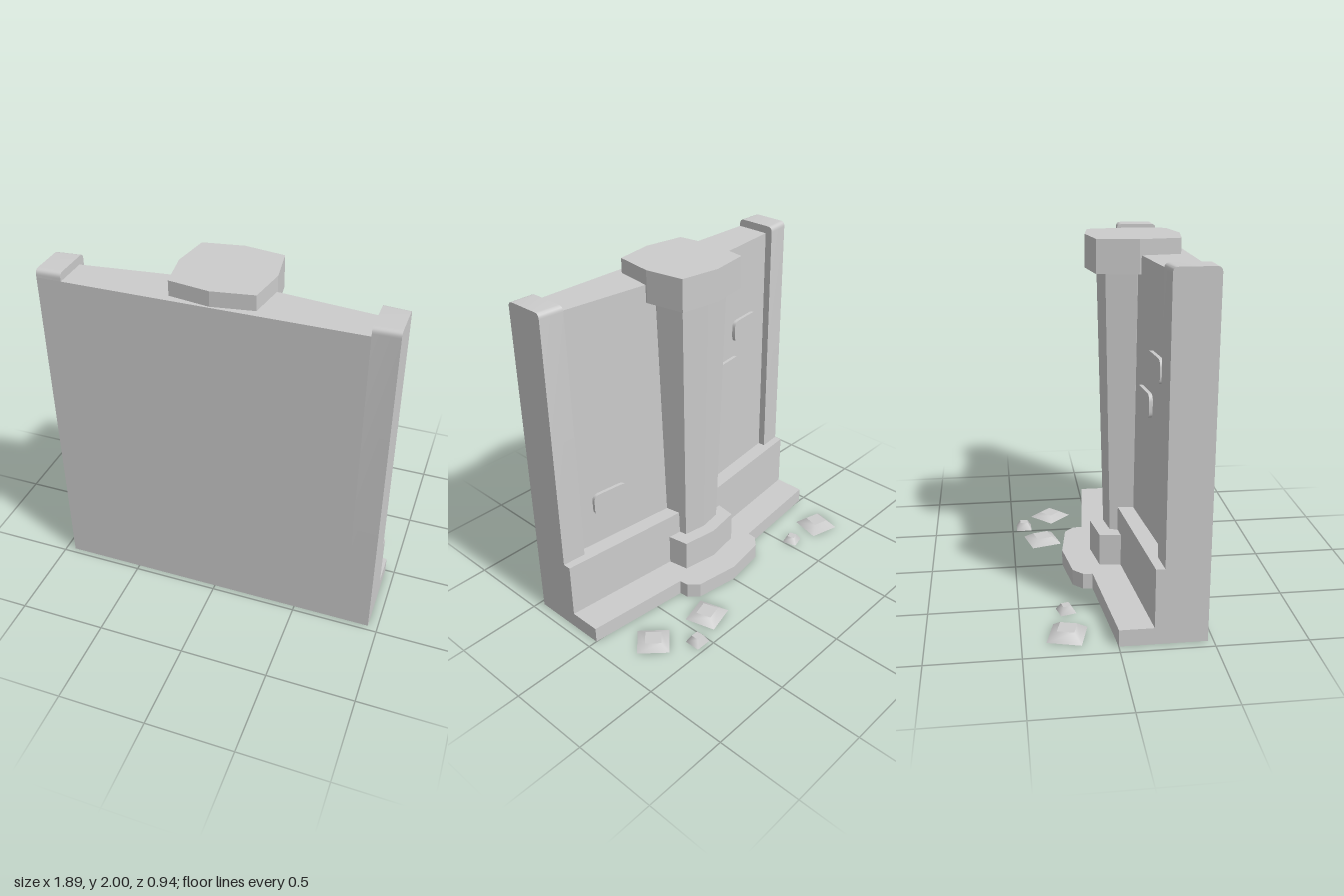
import * as THREE from 'three';
import { toCreasedNormals } from 'three/addons/utils/BufferGeometryUtils.js';

const FRONT = 0.47;
const material = new THREE.MeshStandardMaterial({ color: 0xcccccc });

// Upright prism from an [x, z] outline between two heights
function prism(outline, y0, y1) {
  const shape = new THREE.Shape(outline.map(([x, z]) => new THREE.Vector2(x, -z)));
  const geo = new THREE.ExtrudeGeometry(shape, { depth: y1 - y0, bevelEnabled: false });
  return geo.rotateX(-Math.PI / 2).translate(0, y0, 0);
}

// Completes a right-half outline (ordered by falling z) with its mirror image
const mirrored = (half) => [
  ...half,
  ...half.filter(([x]) => x > 0).reverse().map(([x, z]) => [-x, z]),
];

// Eight-sided column section around z = 0.195
const COLUMN_Z = 0.195;
const section = (s) => mirrored([
  [0, 0.265], [0.23, 0.228], [0.265, 0], [0.23, -0.228], [0, -0.265],
].map(([x, z]) => [x * s, z * s + COLUMN_Z])).filter((p, i) => i < 8);

// Shaft narrowing towards its foot
function shaftGeometry(y0, y1, bottom, top) {
  const geo = prism(section(1), y0, y1);
  const p = geo.attributes.position;
  for (let i = 0; i < p.count; i++) {
    const s = THREE.MathUtils.mapLinear(p.getY(i), y0, y1, bottom, top);
    p.setX(i, p.getX(i) * s);
    p.setZ(i, (p.getZ(i) - COLUMN_Z) * s + COLUMN_Z);
  }
  geo.computeVertexNormals();
  return geo;
}

// Corner post with rounded top edges; its back follows the slant of the wall
function postGeometry(side) {
  const y0 = 0.43, y1 = 1.96, back = 0.228, r = 0.03;
  const s = new THREE.Shape();
  s.moveTo(-FRONT, y0);
  s.lineTo(-back, y0);
  s.lineTo(-back, y1 - r);
  s.quadraticCurveTo(-back, y1, -back - r, y1);
  s.lineTo(-FRONT + r, y1);
  s.quadraticCurveTo(-FRONT, y1, -FRONT, y1 - r);
  const width = 0.14;
  const geo = new THREE.ExtrudeGeometry(s, { depth: width, bevelEnabled: false, curveSegments: 6 });
  // Profile x becomes -z, extrusion depth becomes x
  geo.rotateY(Math.PI / 2).translate(side * 0.875 - width / 2, 0, 0);
  const p = geo.attributes.position;
  for (let i = 0; i < p.count; i++) {
    const t = (FRONT - p.getZ(i)) / (FRONT - back);
    p.setZ(i, p.getZ(i) + 0.1 * (Math.abs(p.getX(i)) - 0.875) * t);
  }
  return toCreasedNormals(geo, 0.6);
}

// Rounded slab standing slightly proud of the wall
function brickGeometry(w, h, r, depth) {
  const x = w / 2, y = h / 2;
  const s = new THREE.Shape();
  s.moveTo(-x + r, -y);
  s.lineTo(x - r, -y);
  s.quadraticCurveTo(x, -y, x, -y + r);
  s.lineTo(x, y - r);
  s.quadraticCurveTo(x, y, x - r, y);
  s.lineTo(-x + r, y);
  s.quadraticCurveTo(-x, y, -x, y - r);
  s.lineTo(-x, -y + r);
  s.quadraticCurveTo(-x, -y, -x + r, -y);
  const geo = new THREE.ExtrudeGeometry(s, { depth, bevelEnabled: false, curveSegments: 4 });
  return toCreasedNormals(geo.translate(0, 0, -depth / 2), 0.6);
}

export function createModel() {
  const model = new THREE.Group();
  model.name = 'wallSection';
  const add = (name, geo) => {
    const mesh = new THREE.Mesh(geo, material);
    mesh.name = name;
    model.add(mesh);
    return mesh;
  };

  // Stepped wall, its back bent outwards towards the middle
  const step = (outer, inner) => [
    [-0.945, FRONT], [0.945, FRONT], [0.945, outer], [0, inner], [-0.945, outer],
  ];
  const foot = mirrored([
    [0.945, FRONT], [0.945, 0], [0.32, -0.065], [0.315, -0.12], [0.26, -0.175], [0, -0.215],
  ]);
  add('footing', prism(foot, 0, 0.095));
  add('plinth', prism(step(0.187, 0.088), 0.095, 0.43));
  add('wall', prism(step(0.282, 0.175), 0.43, 1.915));
  for (const side of [1, -1]) add(side > 0 ? 'leftPost' : 'rightPost', postGeometry(side));

  // Column
  add('columnBase', prism(section(0.905), 0.095, 0.285));
  add('columnShaft', shaftGeometry(0.285, 1.815, 0.6, 0.755));
  add('columnCap', prism(section(1), 1.815, 2));

  // Raised bricks: x, y
  const brick = brickGeometry(0.227, 0.135, 0.04, 0.04);
  for (const [x, y] of [[0.578, 0.7], [-0.578, 1.39], [-0.4, 1.155]]) {
    const mesh = add('brick', brick);
    mesh.position.set(x, y, 0.175 + 0.113 * Math.abs(x));
    mesh.rotation.y = -Math.sign(x) * Math.atan(0.113);
  }

  // Loose rubble: x, z, side, height, turn in degrees
  const rubble = [
    [-0.8, -0.255, 0.187, 0.045, -15],
    [-0.555, -0.24, 0.09, 0.04, 15],
    [0.353, -0.315, 0.187, 0.035, 15],
    [0.553, -0.425, 0.095, 0.045, 0],
    [0.725, -0.24, 0.184, 0.03, 45],
  ];
  for (const [x, z, size, h, turn] of rubble) {
    const r = size * Math.SQRT1_2;
    const geo = new THREE.CylinderGeometry(r * 0.5, r, h, 4).rotateY(Math.PI / 4);
    const mesh = add('rubble', geo);
    mesh.position.set(x, h / 2, z);
    mesh.rotation.y = THREE.MathUtils.degToRad(turn);
  }
  return model;
}
